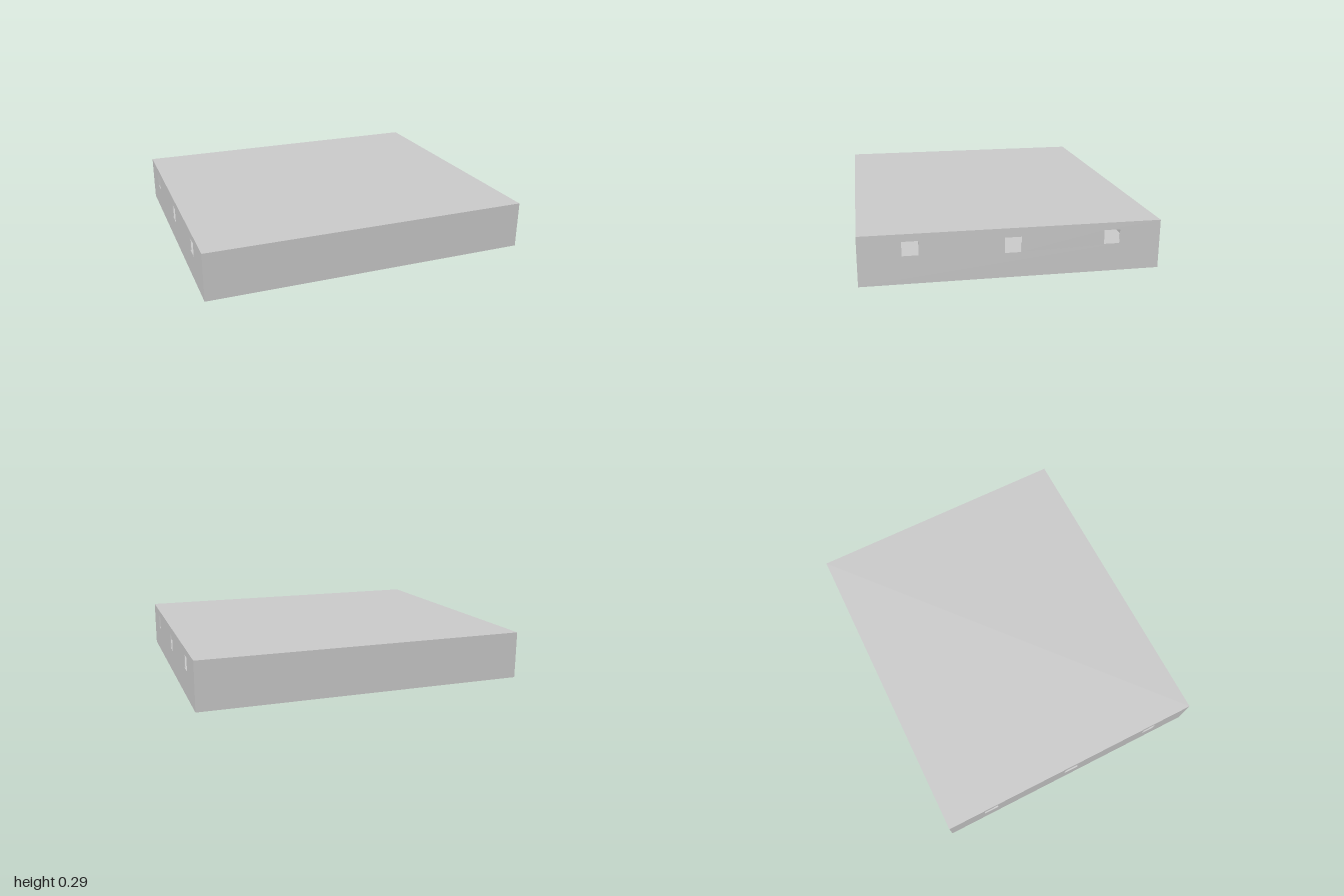
import * as THREE from 'three';

const W = 2, H = 0.288, D = 1.71, T = 0.005; // outer size and sheet thickness

export function createModel() {
  const model = new THREE.Group();
  model.name = 'hollowBox';
  const material = new THREE.MeshStandardMaterial({ color: 0xcccccc, flatShading: true });

  const add = (name, geometry, x, y, z) => {
    const mesh = new THREE.Mesh(geometry, material);
    mesh.name = name;
    mesh.position.set(x, y, z);
    model.add(mesh);
    return mesh;
  };

  // Floor and lid
  add('floor', new THREE.BoxGeometry(W, T, D), 0, T / 2, 0);
  add('lid', new THREE.BoxGeometry(W, T, D), 0, H - T / 2, 0);

  // Front and back walls
  const wall = new THREE.BoxGeometry(W - 2 * T, H - 2 * T, T);
  add('frontWall', wall, 0, H / 2, D / 2 - T / 2);
  add('backWall', wall, 0, H / 2, -D / 2 + T / 2);

  // End walls, each with three square openings
  const rectangle = (Type, x0, x1, y0, y1) => {
    const path = new Type();
    path.moveTo(x0, y0);
    path.lineTo(x1, y0);
    path.lineTo(x1, y1);
    path.lineTo(x0, y1);
    path.closePath();
    return path;
  };
  const panel = rectangle(THREE.Shape, -D / 2, D / 2, T, H - T);
  for (const [z, y, w, h] of [[-0.57, 0.204, 0.092, 0.082], [0, 0.19, 0.096, 0.09], [0.57, 0.204, 0.092, 0.082]]) {
    panel.holes.push(rectangle(THREE.Path, z - w / 2, z + w / 2, y - h / 2, y + h / 2));
  }
  const endWall = new THREE.ExtrudeGeometry(panel, { depth: T, bevelEnabled: false });
  endWall.rotateY(Math.PI / 2);
  add('leftWall', endWall, W / 2 - T, 0, 0);
  add('rightWall', endWall, -W / 2, 0, 0);

  return model;
}
